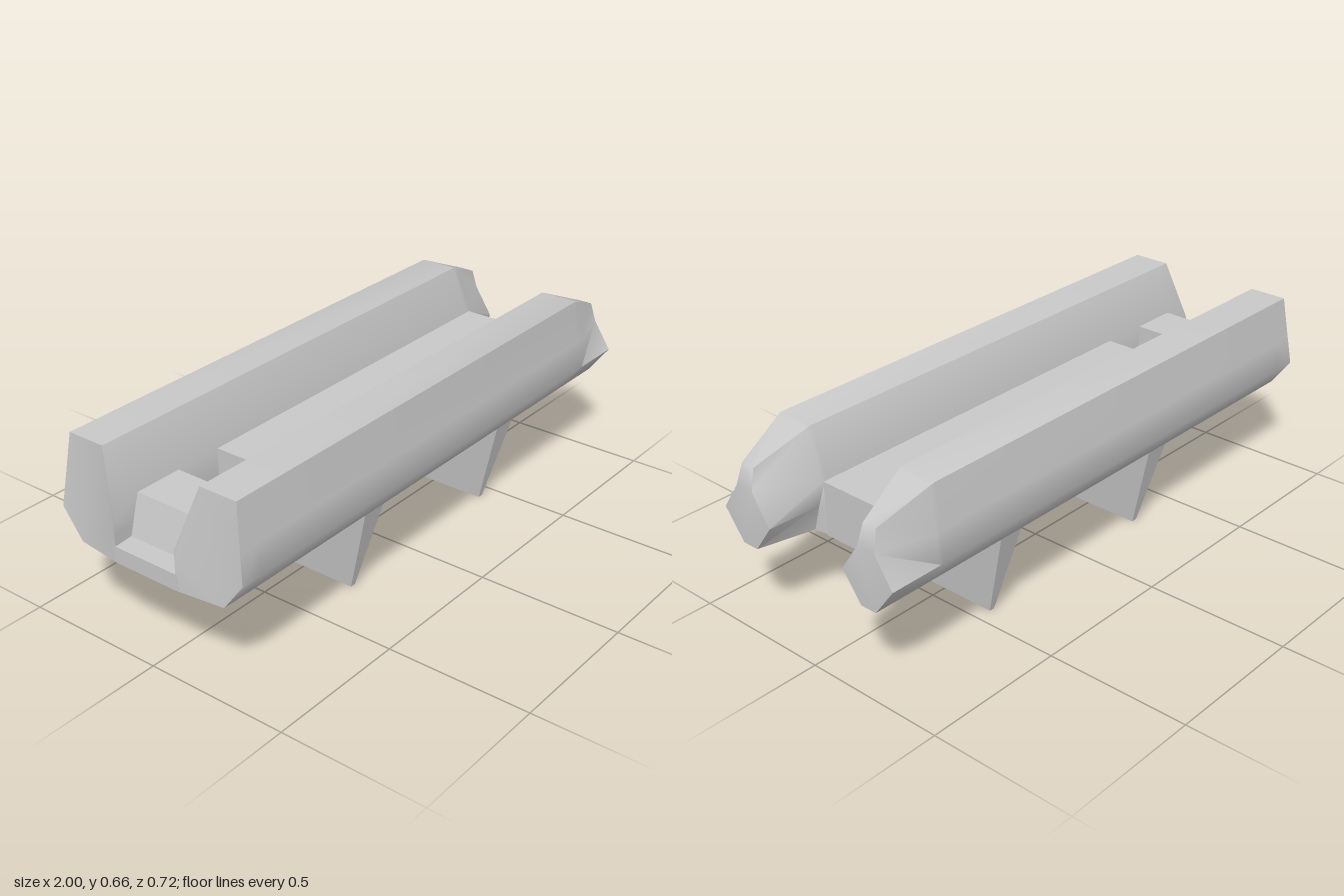
import * as THREE from 'three';
import { toCreasedNormals } from 'three/addons/utils/BufferGeometryUtils.js';

// Rail cross-sections as [x, y, z] rings, all in the same corner order:
// inner bottom, outer bottom, outer bulge, shoulder, outer top, inner top, floor edge, inner wall
const body = [[0.128, 0.315], [0.285, 0.315], [0.358, 0.413], [0.345, 0.51],
  [0.325, 0.66], [0.19, 0.66], [0.128, 0.5], [0.128, 0.41]];
const ring = (x, points) => points.map(([z, y]) => [x, y, z]);
const replace = (list, changes) => list.map((p, i) => changes[i] || p);

const railRings = [
  // bevelled rear end
  [[-1, 0.315, 0.12], [-0.98, 0.315, 0.285], [-0.98, 0.413, 0.358], [-0.97, 0.51, 0.345],
    [-0.955, 0.66, 0.325], [-0.955, 0.66, 0.19], [-1, 0.45, 0.12], [-1, 0.41, 0.12]],
  ring(-0.9, body),
  ring(0.79, body),
  ring(0.803, replace(body, { 4: [0.322, 0.655], 5: [0.193, 0.655] })),
  // undercut prong
  ring(0.81, replace(body, {
    0: [0.18, 0.315], 4: [0.32, 0.652], 5: [0.194, 0.652], 7: [0.153, 0.41],
  })),
  // tapered tip
  [[1, 0.315, 0.225], [1, 0.315, 0.285], [1, 0.413, 0.358], [1, 0.51, 0.293],
    [0.98, 0.58, 0.283], [0.98, 0.58, 0.232], [1, 0.51, 0.224], [1, 0.41, 0.157]],
];

// Joins the rings into a closed solid, mirrored across z when side is -1
function loft(rings, side) {
  const n = rings[0].length;
  const positions = rings.flat().flatMap(([x, y, z]) => [x, y, z * side]);
  const index = [];
  const tri = (a, b, c) => (side > 0 ? index.push(a, b, c) : index.push(a, c, b));
  for (let r = 0; r < rings.length - 1; r++) {
    for (let i = 0; i < n; i++) {
      const j = (i + 1) % n;
      const a = r * n + i, b = r * n + j, c = a + n, d = b + n;
      tri(a, c, d);
      tri(a, d, b);
    }
  }
  // end caps; corners are oriented so that each cap faces outwards
  for (const [r, facing] of [[0, -1], [rings.length - 1, 1]]) {
    const outline = rings[r].map(([, y, z]) => new THREE.Vector2(y, z));
    for (const [a, b, c] of THREE.ShapeUtils.triangulateShape(outline, [])) {
      const [p, q, s] = [outline[a], outline[b], outline[c]];
      const turn = (q.x - p.x) * (s.y - p.y) - (q.y - p.y) * (s.x - p.x);
      const o = r * n;
      if (turn * facing > 0) tri(o + a, o + b, o + c);
      else tri(o + a, o + c, o + b);
    }
  }
  const geometry = new THREE.BufferGeometry();
  geometry.setAttribute('position', new THREE.Float32BufferAttribute(positions, 3));
  geometry.setIndex(index);
  return toCreasedNormals(geometry, THREE.MathUtils.degToRad(57));
}

// Floor slab: a side profile stretched between the rails
function slab(profile) {
  const shape = new THREE.Shape(profile.map(([x, y]) => new THREE.Vector2(x, y)));
  const geometry = new THREE.ExtrudeGeometry(shape, { depth: 0.256, bevelEnabled: false });
  return geometry.translate(0, 0, -0.128);
}

// Wedge leg, narrowing towards the ground
function wedgeLeg() {
  const geometry = new THREE.BoxGeometry(2, 0.32, 2).translate(0, 0.16, 0);
  const p = geometry.attributes.position;
  for (let i = 0; i < p.count; i++) {
    const top = p.getY(i) > 0.1;
    p.setX(i, p.getX(i) * (top ? 0.046 : 0.01));
    p.setZ(i, p.getZ(i) * (top ? 0.285 : 0.198));
  }
  geometry.computeVertexNormals();
  return geometry;
}

export function createModel() {
  const group = new THREE.Group();
  const grey = new THREE.MeshStandardMaterial({ color: 0xc8c8c8 });
  grey.name = 'light grey';
  const add = (name, geometry, x = 0) => {
    const mesh = new THREE.Mesh(geometry, grey);
    mesh.name = name;
    mesh.position.x = x;
    group.add(mesh);
  };

  add('frontRail', loft(railRings, 1));
  add('backRail', loft(railRings, -1));

  // floor in two pieces, leaving a square opening between them
  add('mainFloor', slab([[-0.55, 0.315], [0.808, 0.315], [0.808, 0.5], [-0.55, 0.5]]));
  add('steppedFloor', slab([[-1, 0.315], [-0.72, 0.315], [-0.72, 0.5],
    [-0.89, 0.5], [-0.93, 0.37], [-1, 0.37]]));

  for (const x of [-0.295, 0.435]) add('leg', wedgeLeg(), x);
  return group;
}
